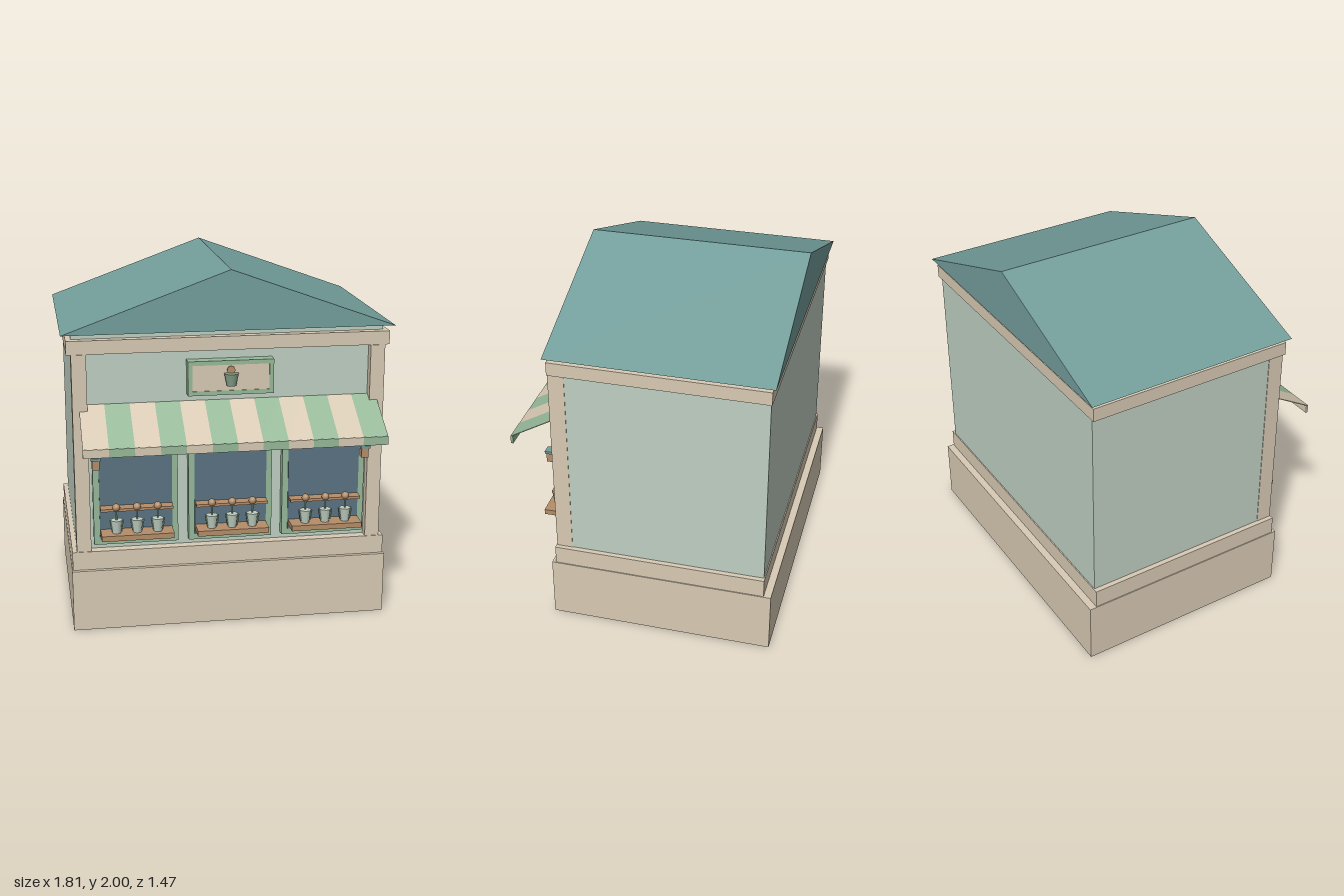
import * as THREE from 'three';

const mat = (name, color) => {
  const m = new THREE.MeshStandardMaterial({ color });
  m.name = name;
  return m;
};

export function createModel() {
  const cream = mat('cream stone', 0xd8cab4);
  const sage = mat('pale sage wall', 0xbfcfc2);
  const green = mat('leaf green trim', 0x97b999);
  const teal = mat('teal roof', 0x739e9b);
  const glass = mat('slate glass', 0x5a7382);
  const wood = mat('warm wood', 0xb58e69);
  const potGreen = mat('muted pot green', 0x86a38c);

  const root = new THREE.Group();
  root.name = 'shop';
  const add = (name, geo, material, parent = root) => {
    const m = new THREE.Mesh(geo, material);
    m.name = name;
    parent.add(m);
    return m;
  };
  // box given by its extents on each axis
  const box = (name, material, [x0, x1], [y0, y1], [z0, z1], parent = root) => {
    const m = add(name, new THREE.BoxGeometry(x1 - x0, y1 - y0, z1 - z0), material, parent);
    m.position.set((x0 + x1) / 2, (y0 + y1) / 2, (z0 + z1) / 2);
    return m;
  };
  // rectangular ring facing +z
  const frame = (name, material, w, h, border, depth, parent) => {
    const rect = (P, a, b) => new P([[-a, -b], [a, -b], [a, b], [-a, b]].map(p => new THREE.Vector2(...p)));
    const s = rect(THREE.Shape, w / 2, h / 2);
    s.holes.push(rect(THREE.Path, w / 2 - border, h / 2 - border));
    return add(name, new THREE.ExtrudeGeometry(s, { depth, bevelEnabled: false }), material, parent);
  };

  // building body
  box('base', cream, [-0.885, 0.885], [0, 0.35], [-0.735, 0.515]);
  box('plinth', cream, [-0.88, 0.88], [0.35, 0.455], [-0.694, 0.493]);
  box('walls', sage, [-0.852, 0.852], [0.455, 1.672], [-0.688, 0.438]);
  box('cornice', cream, [-0.88, 0.88], [1.565, 1.64], [-0.697, 0.484]);
  for (const s of [-1, 1]) {
    const m = box('cornerPilaster', cream, [-0.04, 0.04], [0.455, 1.565], [0.4, 0.489]);
    m.position.x = s * 0.815;
  }

  // gabled roof with its ridge running front to back
  const gable = new THREE.Shape();
  gable.moveTo(-0.907, 1.672);
  gable.lineTo(0.907, 1.672);
  gable.lineTo(0, 2);
  const roof = add('roof', new THREE.ExtrudeGeometry(gable, { depth: 1.215, bevelEnabled: false }), teal);
  roof.position.z = -0.718;

  // potted flower standing on a window shelf
  const pottedFlower = (x, parent) => {
    const g = new THREE.Group();
    g.name = 'pottedFlower';
    g.position.set(x, 0.582, 0.55);
    add('pot', new THREE.CylinderGeometry(0.033, 0.024, 0.074, 8), sage, g).position.y = 0.037;
    add('stem', new THREE.CylinderGeometry(0.005, 0.005, 0.08, 6), green, g).position.y = 0.105;
    add('bloom', new THREE.IcosahedronGeometry(0.022, 1), wood, g).position.y = 0.145;
    for (const s of [-1, 1]) {
      const leaf = add('leaf', new THREE.BoxGeometry(0.006, 0.06, 0.02), potGreen, g);
      leaf.position.set(s * 0.031, 0.042, 0);
      leaf.rotation.z = -s * 0.15;
    }
    parent.add(g);
  };

  // three display windows
  for (const x of [-0.525, 0, 0.525]) {
    const g = new THREE.Group();
    g.name = 'displayWindow';
    g.position.x = x;
    root.add(g);
    frame('windowFrame', green, 0.466, 0.604, 0.033, 0.049, g).position.set(0, 0.793, 0.436);
    box('windowPane', glass, [-0.2, 0.2], [0.525, 1.061], [0.436, 0.492], g);
    box('lowerShelf', wood, [-0.198, 0.198], [0.552, 0.582], [0.485, 0.605], g);
    box('upperShelf', wood, [-0.198, 0.198], [0.704, 0.719], [0.485, 0.555], g);
    box('topRail', wood, [-0.198, 0.198], [1.008, 1.02], [0.485, 0.505], g);
    for (const px of [-0.113, 0, 0.113]) pottedFlower(px, g);
  }

  // lanterns on both sides
  for (const s of [-1, 1]) {
    const g = new THREE.Group();
    g.name = 'lantern';
    g.position.x = s * 0.743;
    root.add(g);
    box('lanternCap', teal, [-0.026, 0.026], [0.998, 1.013], [0.5, 0.563], g);
    box('lanternArm', teal, [-0.01, 0.01], [1.003, 1.02], [0.44, 0.53], g);
    box('lanternBody', wood, [-0.02, 0.02], [0.945, 0.998], [0.514, 0.556], g);
  }

  // striped awning with a short valance
  const awning = new THREE.Group();
  awning.name = 'awning';
  root.add(awning);
  const rise = 0.165, run = 0.287, w = 1.637 / 12;
  for (let i = 0; i < 12; i++) {
    const x = -0.8185 + w * (i + 0.5);
    const material = i % 2 ? green : cream;
    const panel = add('awningStripe', new THREE.BoxGeometry(w, 0.004, Math.hypot(rise, run)), material, awning);
    panel.position.set(x, 1.28 - rise / 2, 0.443 + run / 2);
    panel.rotation.x = Math.atan2(rise, run);
    box('valanceStripe', material, [x - w / 2, x + w / 2], [1.07, 1.116], [0.722, 0.735], awning);
  }

  // sign with a flowerpot emblem
  const sign = new THREE.Group();
  sign.name = 'sign';
  root.add(sign);
  frame('signFrame', green, 0.47, 0.19, 0.024, 0.067, sign).position.set(0, 1.416, 0.436);
  box('signPanel', cream, [-0.212, 0.212], [1.344, 1.488], [0.436, 0.499], sign);
  add('emblemPot', new THREE.CylinderGeometry(0.04, 0.026, 0.068, 16), potGreen, sign).position.set(0, 1.409, 0.513);
  const bloom = add('emblemBloom', new THREE.CylinderGeometry(0.022, 0.022, 0.01, 16), wood, sign);
  bloom.rotation.x = Math.PI / 2;
  bloom.position.set(0, 1.459, 0.503);

  return root;
}
